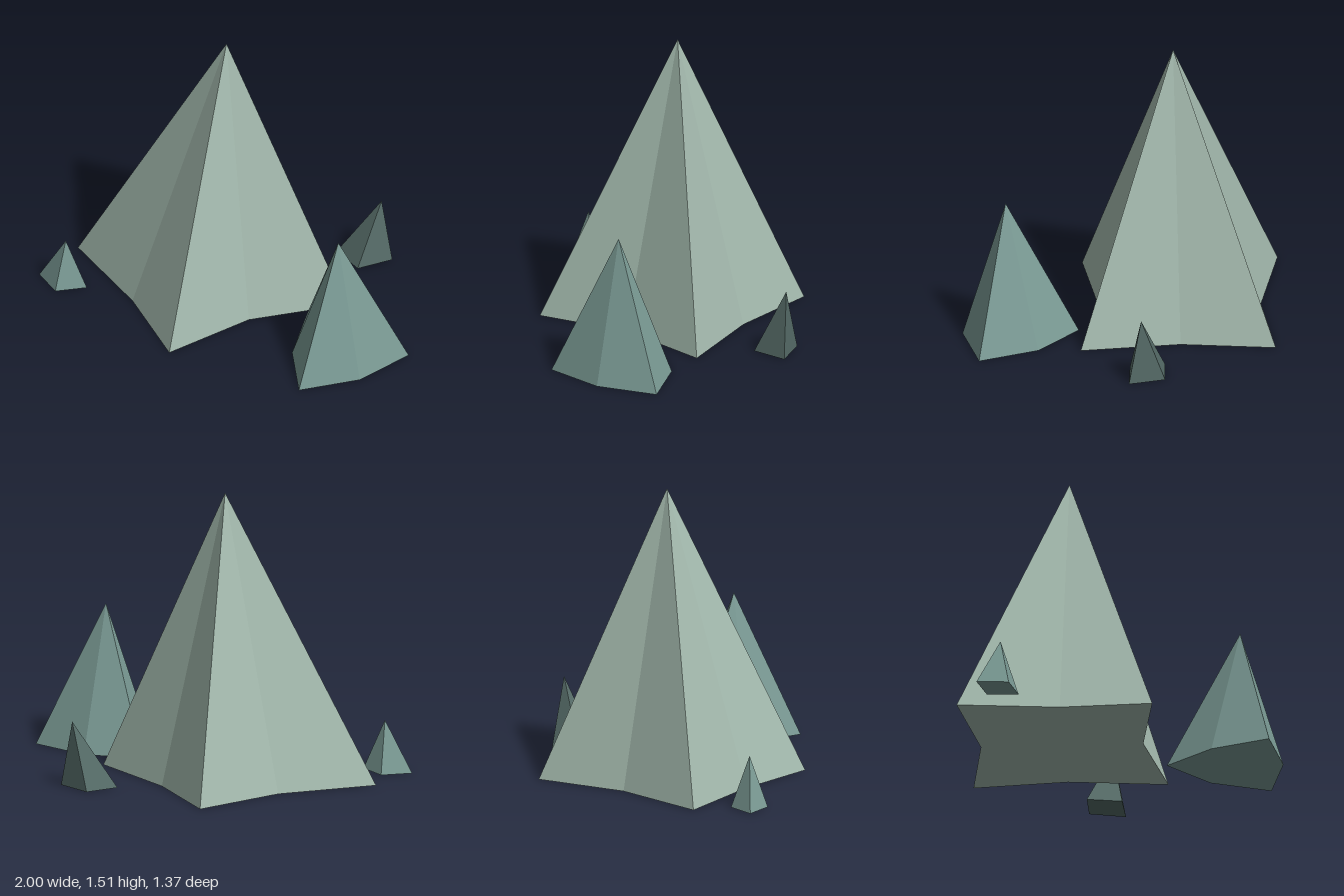
import * as THREE from 'three';

// Faceted spike: an apex [x, y, z] over a ground outline of [x, z] corners,
// listed clockwise as seen from above.
function spike(name, color, apex, outline) {
  const positions = [];
  const centre = [apex[0], 0, apex[2]];
  outline.forEach(([x, z], i) => {
    const [nx, nz] = outline[(i + 1) % outline.length];
    const a = [x, 0, z];
    const b = [nx, 0, nz];
    positions.push(...b, ...a, ...apex); // sloping side
    positions.push(...centre, ...a, ...b); // underside
  });
  const geometry = new THREE.BufferGeometry();
  geometry.setAttribute('position', new THREE.Float32BufferAttribute(positions, 3));
  geometry.computeVertexNormals();
  const mesh = new THREE.Mesh(geometry, new THREE.MeshStandardMaterial({ color, flatShading: true }));
  mesh.name = name;
  return mesh;
}

export function createModel() {
  const group = new THREE.Group();
  group.name = 'rockSpikes';

  // Tall central peak with an eight-cornered star base
  group.add(spike('mainPeak', 0xa3b9ad, [-0.16, 1.515, -0.03], [
    [-0.355, -0.683], [0.03, -0.373], [0.495, -0.137], [0.13, 0.23],
    [-0.08, 0.682], [-0.47, 0.4], [-0.945, 0.155], [-0.575, -0.23],
  ]));

  // Medium peak with a six-cornered base
  group.add(spike('sidePeak', 0x7a9a94, [0.69, 0.745, 0.265], [
    [0.37, 0.06], [0.675, -0.01], [0.995, 0.065],
    [0.885, 0.375], [0.66, 0.613], [0.465, 0.355],
  ]));

  // Two small four-sided shards
  group.add(spike('frontShard', 0x7a9a94, [-0.848, 0.27, 0.44], [
    [-1, 0.453], [-0.875, 0.345], [-0.73, 0.425], [-0.855, 0.535],
  ]));
  group.add(spike('backShard', 0x566c68, [0.435, 0.35, -0.6], [
    [0.22, -0.505], [0.322, -0.655], [0.505, -0.59], [0.39, -0.433],
  ]));

  return group;
}
